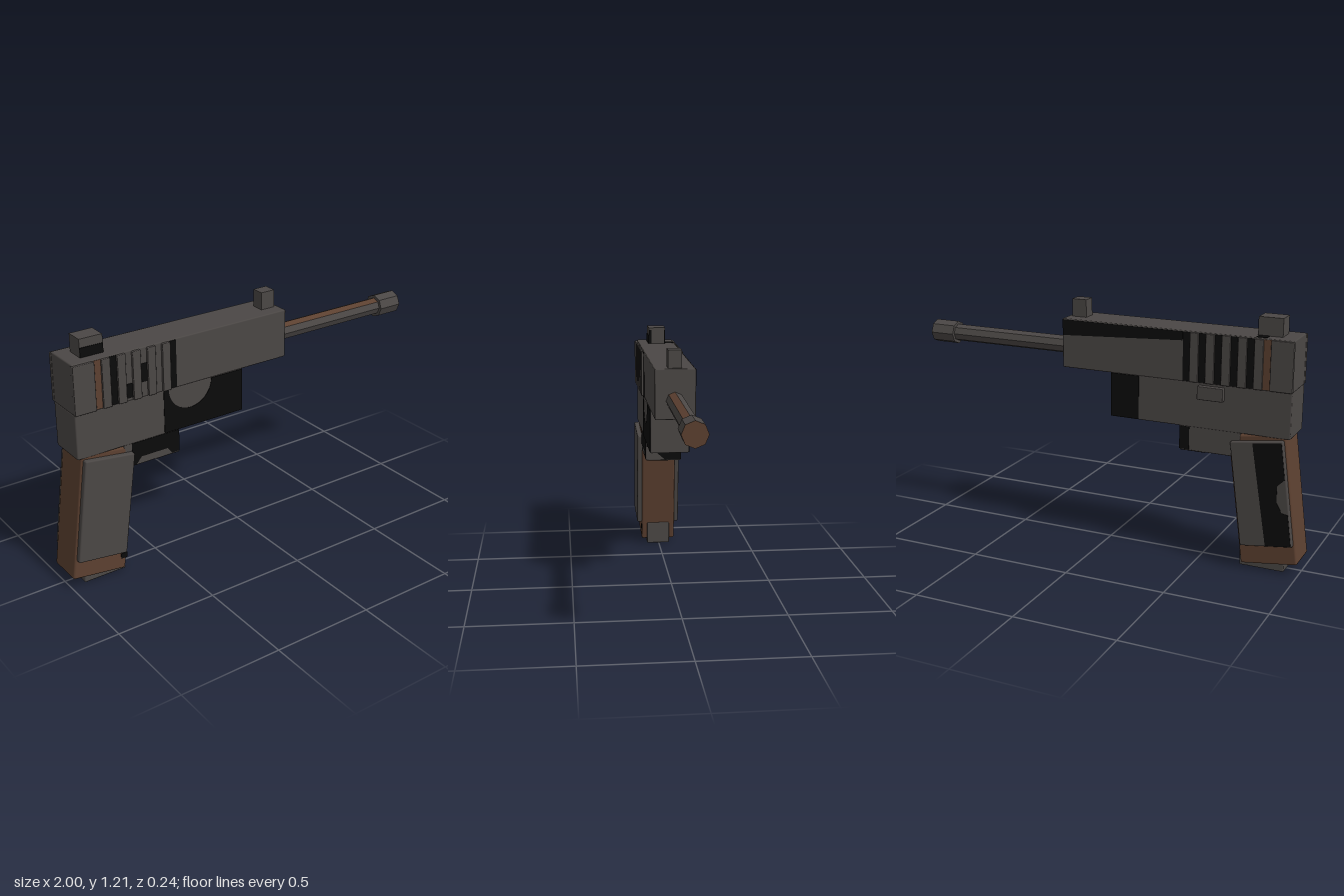
import * as THREE from 'three';
import { RoundedBoxGeometry } from 'three/addons/geometries/RoundedBoxGeometry.js';

function material(name, color) {
  const m = new THREE.MeshStandardMaterial({ color });
  m.name = name;
  return m;
}

export function createModel() {
  const grey = material('gunmetal grey', 0x4b4745);
  const brown = material('dark brown', 0x5c4030);
  const black = material('black', 0x0a0a0a);
  const model = new THREE.Group();
  model.name = 'pistol';

  function add(name, geometry, mat, parent = model) {
    const mesh = new THREE.Mesh(geometry, mat);
    mesh.name = name;
    parent.add(mesh);
    return mesh;
  }

  // Box given by its limits; r is the size of the edge bevel
  function box(name, [x0, x1], [y0, y1], [z0, z1], mat, r = 0, parent = model) {
    const size = [x1 - x0, y1 - y0, z1 - z0];
    const g = r ? new RoundedBoxGeometry(...size, 1, r) : new THREE.BoxGeometry(...size);
    const mesh = add(name, g, mat, parent);
    mesh.position.set((x0 + x1) / 2, (y0 + y1) / 2, (z0 + z1) / 2);
    return mesh;
  }

  // Thin painted plate with a free outline, centred on depth z
  function plate(name, shape, z, mat, parent = model) {
    const g = new THREE.ExtrudeGeometry(shape, { depth: 0.004, bevelEnabled: false });
    const mesh = add(name, g, mat, parent);
    mesh.position.z = z - 0.002;
    return mesh;
  }
  const outline = (...pts) => new THREE.Shape(pts.map(([x, y]) => new THREE.Vector2(x, y)));

  // Slide
  box('slide', [-0.94, 0.215], [0.885, 1.127], [-0.095, 0.1], grey, 0.006);
  plate('slideDarkEdge', outline([-0.41, 1.08], [0.212, 1.045], [0.212, 1.122], [-0.41, 1.122]), -0.095, black);

  // Serrations: raised ribs between painted grooves on both sides
  const pitch = 0.0775, groove = 0.035, first = -0.835;
  const frontPaint = [[0.89, 1.122], [0.89, 1.122], [0.9, 0.97], [0.96, 1.05], null, [0.89, 1.122]];
  for (let i = 0; i < 6; i++) {
    const x = first + i * pitch;
    const ribStart = i === 0 ? -0.942 : x - pitch + groove;
    box('slideRibLeft', [ribStart, x], [0.888, 1.122], [0.09, 0.113], grey, 0.004);
    box('slideRibRight', [ribStart, x], [0.888, 1.122], [-0.106, -0.085], grey, 0.004);
    const paint = i === 0 ? brown : black;
    if (frontPaint[i]) box('grooveLeft', [x, x + groove], frontPaint[i], [0.098, 0.102], paint);
    box('grooveRight', [x, x + groove], [0.89, 1.122], [-0.097, -0.093], paint);
  }

  // Sights
  box('rearSight', [-0.87, -0.755], [1.12, 1.213], [-0.042, 0.047], grey);
  box('rearSightDarkFront', [-0.87, -0.755], [1.127, 1.172], [0.046, 0.05], black);
  box('rearSightDarkSide', [-0.757, -0.753], [1.127, 1.2], [0.033, 0.047], black);
  box('rearSightDarkSide', [-0.757, -0.753], [1.127, 1.2], [-0.042, -0.035], black);
  box('slideTopMark', [-0.81, -0.76], [1.125, 1.129], [-0.085, -0.045], black);
  box('frontSight', [0.118, 0.193], [1.12, 1.213], [-0.03, 0.035], grey);

  // Octagonal barrel with two brown facets
  const barrelGeo = new THREE.CylinderGeometry(0.043, 0.043, 0.7, 8, 1, true).toNonIndexed();
  barrelGeo.computeVertexNormals();
  barrelGeo.clearGroups();
  for (let i = 0; i < 8; i++) barrelGeo.addGroup(i * 6, 6, i === 1 || i === 6 ? 1 : 0);
  const barrel = add('barrel', barrelGeo, [grey, brown]);
  barrel.rotation.z = -Math.PI / 2;
  barrel.position.set(0.54, 0.975, 0.004);

  // Muzzle collar with a brown end face
  const muzzleGeo = new THREE.CylinderGeometry(0.058, 0.058, 0.127, 8).toNonIndexed();
  muzzleGeo.computeVertexNormals();
  const muzzle = add('muzzle', muzzleGeo, [grey, brown, grey]);
  muzzle.rotation.z = -Math.PI / 2;
  muzzle.position.set(0.9365, 0.975, 0.004);

  // Frame
  box('frame', [-0.94, -0.042], [0.668, 0.888], [-0.093, 0.1], grey, 0.006);
  const dark = new THREE.Shape();
  dark.moveTo(-0.485, 0.672);
  dark.lineTo(-0.044, 0.672);
  dark.lineTo(-0.044, 0.885);
  dark.lineTo(-0.22, 0.885);
  dark.absarc(-0.34, 0.885, 0.118, 0, Math.PI, true);
  dark.lineTo(-0.485, 0.885);
  plate('frameDarkLeft', dark, 0.1, black);
  box('frameDarkRight', [-0.19, -0.044], [0.672, 0.885], [-0.096, -0.091], black);

  // Slide release lever
  box('lever', [-0.62, -0.493], [0.812, 0.876], [-0.12, -0.085], grey, 0.004);

  // Trigger guard with dark faces
  box('triggerGuard', [-0.7, -0.402], [0.55, 0.68], [-0.091, 0.095], grey, 0.005);
  plate('guardDarkLeft', outline([-0.66, 0.555], [-0.64, 0.555], [-0.61, 0.588], [-0.47, 0.588],
    [-0.445, 0.557], [-0.404, 0.557], [-0.404, 0.667], [-0.66, 0.667]), 0.095, black);
  box('guardDarkRight', [-0.45, -0.404], [0.555, 0.667], [-0.093, -0.089], black);
  box('guardDarkBottom', [-0.53, -0.406], [0.548, 0.552], [-0.087, 0.09], black);
  const front = plate('guardDarkFront', outline([-0.09, 0.555], [-0.005, 0.555], [0.075, 0.625],
    [0.09, 0.625], [0.09, 0.667], [-0.09, 0.667]), 0, black);
  front.geometry.rotateY(-Math.PI / 2);
  front.position.set(-0.4, 0, 0);

  // Slanted grip, drawn upright around its own centre
  const grip = new THREE.Group();
  grip.name = 'grip';
  grip.position.set(-0.82, 0.355, 0);
  grip.rotation.z = -THREE.MathUtils.degToRad(7.5);
  model.add(grip);
  box('gripCore', [-0.139, 0.139], [-0.3175, 0.3175], [-0.087, 0.095], brown, 0.01, grip);
  const px = [-0.13, 0.126], py = [-0.22, 0.292];
  box('gripPanelLeft', px, py, [0.085, 0.12], grey, 0.007, grip);
  box('gripPanelRight', px, py, [-0.11, -0.075], grey, 0.007, grip);
  plate('gripPanelDark', outline([-0.124, -0.214], [0.0, -0.214], [0.015, 0.285], [-0.124, 0.285],
    [-0.124, 0.11], [-0.085, 0.08], [-0.075, 0.0], [-0.095, -0.05], [-0.124, -0.06]), -0.11, black, grip);

  // Magazine base
  box('magazineBase', [-0.928, -0.707], [0, 0.12], [-0.058, 0.066], grey, 0.006);
  box('magazineMark', [-0.745, -0.712], [0.08, 0.108], [0.093, 0.097], black);

  return model;
}
